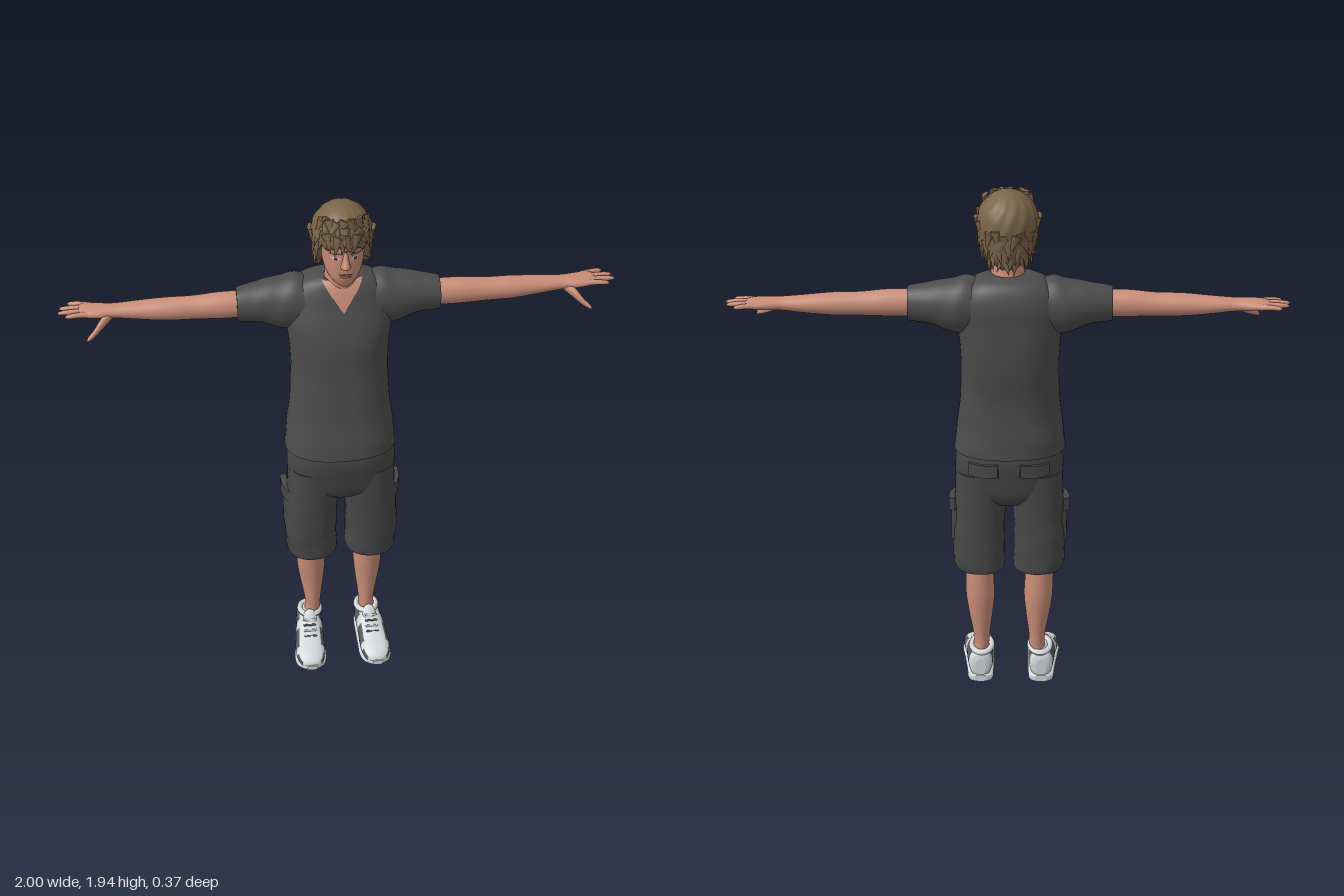
import * as THREE from 'three';

const material = (name, color, side = THREE.FrontSide) => {
  const m = new THREE.MeshStandardMaterial({ color, side });
  m.name = name;
  return m;
};

// Grid surface, closed around u; pick(u, v) chooses the material slot of each cell
function grid(nu, nv, point, { caps = false, pick = () => 0 } = {}) {
  const pos = [], slots = [[], []];
  for (let j = 0; j <= nv; j++) for (let i = 0; i < nu; i++) pos.push(...point(i / nu, j / nv));
  for (let j = 0; j < nv; j++) for (let i = 0; i < nu; i++) {
    const a = j * nu + i, b = j * nu + (i + 1) % nu;
    slots[pick((i + 0.5) / nu, (j + 0.5) / nv)].push(a, a + nu, b, b, a + nu, b + nu);
  }
  if (caps) for (const v of [0, 1]) {
    const base = pos.length / 3, c = [0, 0, 0];
    for (let i = 0; i < nu; i++) {
      const p = point(i / nu, v);
      pos.push(...p);
      p.forEach((n, k) => { c[k] += n / nu; });
    }
    pos.push(...c);
    for (let i = 0; i < nu; i++) {
      const a = base + i, b = base + (i + 1) % nu;
      slots[0].push(base + nu, v ? b : a, v ? a : b);
    }
  }
  const g = new THREE.BufferGeometry();
  g.setAttribute('position', new THREE.Float32BufferAttribute(pos, 3));
  g.setIndex([...slots[0], ...slots[1]]);
  if (slots[1].length) {
    g.addGroup(0, slots[0].length, 0);
    g.addGroup(slots[0].length, slots[1].length, 1);
  }
  g.computeVertexNormals();
  return g;
}

// Smooth interpolation through the cross-section rows
function rowAt(rows, t) {
  const f = t * (rows.length - 1), i = Math.min(Math.floor(f), rows.length - 2), s = f - i;
  const r = (k) => rows[Math.max(0, Math.min(rows.length - 1, k))];
  return rows[0].map((_, c) => {
    const [a, b, d, e] = [r(i - 1)[c], r(i)[c], r(i + 1)[c], r(i + 2)[c]];
    return b + 0.5 * s * (d - a + s * (2 * a - 5 * b + 4 * d - e + s * (3 * (b - d) + e - a)));
  });
}
const sgnPow = (v, e) => Math.sign(v) * Math.abs(v) ** e;

// Loft along an axis; row = [height, centreU, centreV, radiusU, radiusV]
// axis y: u=x v=z; axis x: u=z v=y; axis z: u=y v=x
function loft(rows, { axis = 'y', seg = 32, steps = 4, power = 2, bump = () => 0, pick } = {}) {
  return grid(seg, (rows.length - 1) * steps, (u, v) => {
    const [h, cu, cv, ru, rv] = rowAt(rows, v), a = u * Math.PI * 2, k = 1 + bump(a, h);
    const p = cu + ru * k * sgnPow(Math.cos(a), 2 / power), q = cv + rv * k * sgnPow(Math.sin(a), 2 / power);
    return axis === 'y' ? [p, h, q] : axis === 'x' ? [h, q, p] : [q, p, h];
  }, { caps: true, pick });
}

// Front surface height of a vertical loft
function frontZ(rows, power, x, y) {
  let lo = 0, hi = 1;
  for (let i = 0; i < 25; i++) {
    const m = (lo + hi) / 2;
    if (rowAt(rows, m)[0] < y) lo = m; else hi = m;
  }
  const [, cx, cz, rx, rz] = rowAt(rows, lo);
  return cz + rz * Math.max(0, 1 - Math.abs((x - cx) / rx) ** power) ** (1 / power);
}

// Thin plate laid on the front of a loft; width(t) gives half width from y0 to y1
function plate(rows, power, cx, y0, y1, width, lift = 0.003, slope = 0) {
  const g = new THREE.PlaneGeometry(2, 1, 12, 14), p = g.attributes.position;
  for (let i = 0; i < p.count; i++) {
    const t = p.getY(i) + 0.5, dx = p.getX(i) * width(t), x = cx + dx, y = y0 + (y1 - y0) * t + slope * dx;
    p.setXYZ(i, x, y, frontZ(rows, power, x, y) + lift);
  }
  g.computeVertexNormals();
  return g;
}
const oval = (w) => (t) => w * Math.sqrt(Math.max(0, 1 - (2 * t - 1) ** 2));

function mirrored(g) {
  const m = g.clone().scale(-1, 1, 1), ix = m.index.array;
  for (let i = 0; i < ix.length; i += 3) [ix[i], ix[i + 1]] = [ix[i + 1], ix[i]];
  m.computeVertexNormals();
  return m;
}

export function createModel() {
  const root = new THREE.Group();
  root.name = 'standingMan';
  const skin = material('skin', 0xc98d78), shirt = material('shirtCharcoal', 0x4c4c4d);
  const shorts = material('shortsCharcoal', 0x484849), hair = material('hairBrown', 0x7b6449, THREE.DoubleSide);
  const white = material('shoeWhite', 0xd3d7d9), dark = material('shoeGrey', 0x58595b);
  const lip = material('lips', 0xa9665a), eyeWhite = material('eyeWhite', 0xd8cfc8), iris = material('eyeDark', 0x3a2c25);
  const group = (name, x = 0) => {
    const g = new THREE.Group();
    g.name = name;
    g.position.x = x;
    root.add(g);
    return g;
  };
  const add = (parent, name, g, m) => {
    const mesh = new THREE.Mesh(g, m);
    mesh.name = name;
    parent.add(mesh);
    return mesh;
  };
  const pair = (parent, name, g, m) => {
    add(parent, name + 'Left', g, m);
    add(parent, name + 'Right', mirrored(g), m);
  };

  // Shirt with soft folds, sleeves and V neckline
  const top = group('shirt', -0.008);
  const torso = [[0.965, 0, -0.012, 0.205, 0.153], [1.02, 0, -0.015, 0.2, 0.15], [1.1, 0, -0.02, 0.189, 0.138],
    [1.2, 0, -0.027, 0.18, 0.133], [1.3, 0, -0.04, 0.177, 0.135], [1.4, 0, -0.046, 0.182, 0.135],
    [1.48, 0, -0.055, 0.193, 0.125], [1.55, 0, -0.068, 0.19, 0.112], [1.6, 0, -0.07, 0.17, 0.098],
    [1.632, 0, -0.066, 0.135, 0.08], [1.65, 0, -0.055, 0.085, 0.055]];
  const folds = (a, y) => 0.014 * Math.sin(y * 42 + 2 * Math.sin(2 * a)) * Math.max(0, (1.35 - y) / 0.4) * (0.6 - 0.4 * Math.sin(a));
  add(top, 'shirtBody', loft(torso, { seg: 48, power: 2.4, bump: folds }), shirt);
  pair(top, 'sleeve', loft([[0.09, -0.065, 1.54, 0.085, 0.09], [0.15, -0.068, 1.54, 0.09, 0.104], [0.2, -0.07, 1.535, 0.088, 0.1],
    [0.28, -0.068, 1.543, 0.073, 0.077], [0.363, -0.062, 1.539, 0.057, 0.063]],
  { axis: 'x', bump: (a, x) => 0.012 * Math.sin(x * 70 + 3 * Math.sin(a)) }), shirt);
  add(top, 'necklineSkin', plate(torso, 2.4, 0.008, 1.54, 1.648, (t) => 0.072 * t ** 0.9, 0.005), skin);

  // Arms and hands
  const arms = group('arms');
  pair(arms, 'arm', loft([[0.28, -0.062, 1.54, 0.045, 0.048], [0.42, -0.062, 1.54, 0.046, 0.049], [0.52, -0.064, 1.537, 0.042, 0.043],
    [0.62, -0.066, 1.537, 0.043, 0.041], [0.72, -0.07, 1.538, 0.039, 0.032], [0.8, -0.072, 1.54, 0.034, 0.024],
    [0.85, -0.074, 1.541, 0.041, 0.022], [0.9, -0.08, 1.543, 0.045, 0.018], [0.925, -0.082, 1.543, 0.036, 0.011]],
  { axis: 'x', seg: 24 }), skin);
  [[-0.048, -0.038, 0.973], [-0.07, -0.068, 1], [-0.092, -0.099, 0.994], [-0.113, -0.131, 0.965]].forEach(([z0, z1, tip], i) => {
    const x0 = 0.885, row = (t, r) => [x0 + (tip - x0) * t, z0 + (z1 - z0) * t, 1.543 + 0.003 * Math.sin(t * 3), r, r * 0.9];
    pair(arms, 'finger' + (i + 1), loft([row(0, 0.012), row(0.5, 0.0105), row(0.88, 0.0085), row(1, 0.002)], { axis: 'x', seg: 10, steps: 3 }), skin);
  });
  pair(arms, 'thumb', loft([[0.805, -0.06, 1.535, 0.012, 0.014], [0.845, -0.032, 1.515, 0.02, 0.021], [0.875, -0.006, 1.49, 0.014, 0.014],
    [0.897, 0.008, 1.476, 0.009, 0.009], [0.904, 0.012, 1.471, 0.002, 0.002]], { axis: 'x', seg: 12 }), skin);

  // Neck and head
  const head = group('head');
  add(head, 'neck', loft([[1.57, 0, -0.06, 0.075, 0.07], [1.62, 0, -0.046, 0.066, 0.068], [1.66, 0, -0.038, 0.059, 0.064],
    [1.75, 0, -0.03, 0.058, 0.065]]), skin);
  const face = [[1.662, 0, 0.045, 0.018, 0.028], [1.675, 0, 0.034, 0.038, 0.047], [1.7, 0, 0.017, 0.058, 0.072],
    [1.735, 0, 0.005, 0.07, 0.088], [1.78, 0, -0.006, 0.078, 0.1], [1.83, 0, -0.012, 0.084, 0.109],
    [1.88, 0, -0.018, 0.077, 0.1], [1.92, 0, -0.02, 0.045, 0.06]];
  add(head, 'face', loft(face, { power: 2.15 }), skin);
  add(head, 'nose', loft([[1.742, 0, 0.086, 0.01, 0.012], [1.751, 0, 0.092, 0.018, 0.028], [1.762, 0, 0.093, 0.015, 0.031],
    [1.785, 0, 0.088, 0.01, 0.021], [1.812, 0, 0.084, 0.008, 0.014]], { seg: 16 }), skin);
  add(head, 'upperLip', plate(face, 2.15, 0, 1.718, 1.725, oval(0.026), 0.005), lip);
  add(head, 'lowerLip', plate(face, 2.15, 0, 1.709, 1.718, oval(0.021), 0.006), lip);
  for (const s of [-1, 1]) {
    add(head, 'eye', plate(face, 2.15, s * 0.034, 1.779, 1.791, oval(0.015)), eyeWhite);
    add(head, 'iris', plate(face, 2.15, s * 0.034, 1.779, 1.791, oval(0.006), 0.005), iris);
    add(head, 'eyebrow', plate(face, 2.15, s * 0.036, 1.801, 1.808, oval(0.021), 0.004, -s * 0.1), hair);
    const ear = add(head, 'ear', new THREE.SphereGeometry(1, 14, 10), skin);
    ear.scale.set(0.012, 0.03, 0.019);
    ear.position.set(s * 0.083, 1.77, -0.015);
  }

  // Shaggy hair: cap with an uneven hairline, then overlapping locks
  const hairline = (a) => {
    const s = Math.sin(a);
    return 1.715 + 0.03 * Math.min(0, s) + 0.105 * THREE.MathUtils.smoothstep(s, 0.05, 0.75) + 0.008 * Math.sin(a * 11) + 0.005 * Math.sin(a * 19);
  };
  const hairPoint = (a, y, k = 1) => {
    const d = (y - 1.83) / 0.113, r = k * (d > 0 ? Math.sqrt(Math.max(0, 1 - d * d)) : 1 - 0.14 * d * d);
    const wave = 1 + 0.018 * Math.sin(a * 13 + y * 60) + 0.012 * Math.sin(a * 7 - y * 90);
    return [0.108 * r * wave * Math.cos(a), y, -0.02 + 0.12 * r * wave * Math.sin(a)];
  };
  add(head, 'hairCap', grid(64, 17, (u, v) => {
    const a = u * Math.PI * 2, y0 = hairline(a);
    if (v === 0) return hairPoint(a, y0 + 0.01, 0.78);
    return hairPoint(a, y0 + (1.943 - y0) * Math.sin((v * 17 - 1) / 16 * Math.PI / 2));
  }), hair);
  const lockGeometry = new THREE.ConeGeometry(0.019, 0.075, 7, 3).rotateX(Math.PI).scale(1, 1, 0.42);
  [[0.016, 26, 0.14], [0.055, 22, 0.06], [0.095, 18, -0.12]].forEach(([rise, count, flick], tier) => {
    for (let i = 0; i < count; i++) {
      const a = (i + tier * 0.4 + 0.25 * Math.sin(i * 5.3)) / count * Math.PI * 2;
      const y = Math.min(hairline(a) + rise + 0.009 * Math.sin(i * 3.7), 1.885);
      const lock = add(head, 'hairLock', lockGeometry, hair);
      lock.position.set(...hairPoint(a, y, 0.99));
      lock.rotation.order = 'YXZ';
      lock.rotation.set(-flick - (y > 1.84 ? 0.35 : 0), Math.PI / 2 - a, 0.35 * Math.sin(i * 2.3 + tier));
    }
  });

  // Cargo shorts
  const bottoms = group('shorts', -0.005);
  add(bottoms, 'seatOfShorts', loft([[0.752, 0, -0.015, 0.1, 0.085], [0.79, 0, -0.013, 0.18, 0.115], [0.86, 0, -0.012, 0.2, 0.13],
    [0.93, 0, -0.012, 0.199, 0.142], [0.99, 0, -0.012, 0.19, 0.138]], { power: 2.5 }), shorts);
  pair(bottoms, 'shortsLeg', loft([[0.473, 0.11, -0.022, 0.092, 0.1], [0.5, 0.112, -0.022, 0.096, 0.104], [0.6, 0.116, -0.018, 0.098, 0.108],
    [0.7, 0.11, -0.014, 0.096, 0.111], [0.78, 0.105, -0.013, 0.097, 0.115], [0.88, 0.1, -0.013, 0.098, 0.12]],
  { power: 2.4, bump: (a, y) => 0.018 * Math.sin(y * 55 + 2 * Math.sin(a * 2)) * Math.max(0, (0.85 - y) / 0.37) }), shorts);
  const block = (w, h, d, bulge) => {
    const g = new THREE.BoxGeometry(w, h, d, 6, 6, 1), p = g.attributes.position;
    for (let i = 0; i < p.count; i++) {
      const q = (2 * p.getX(i) / w) ** 2;
      p.setZ(i, p.getZ(i) - bulge * q);
      p.setY(i, p.getY(i) + 0.1 * h * q);
    }
    g.computeVertexNormals();
    return g;
  };
  pair(bottoms, 'cargoPocket', block(0.15, 0.15, 0.02, 0.02).rotateY(1.2).translate(0.197, 0.655, 0.005), shorts);
  pair(bottoms, 'cargoFlap', block(0.17, 0.05, 0.026, 0.024).rotateY(1.15).translate(0.199, 0.742, 0.008), shorts);
  pair(bottoms, 'cargoFlapFront', block(0.09, 0.045, 0.014, 0.012).rotateZ(-0.15).rotateY(0.45).translate(0.145, 0.735, 0.083), shorts);
  pair(bottoms, 'backPocketFlap', block(0.11, 0.05, 0.014, 0.008).rotateY(Math.PI - 0.25).translate(0.095, 0.915, -0.148), shorts);

  // Lower legs
  const legs = group('legs', -0.006);
  pair(legs, 'lowerLeg', loft([[0.08, 0.115, -0.057, 0.033, 0.043], [0.15, 0.106, -0.057, 0.029, 0.042], [0.2, 0.106, -0.057, 0.033, 0.044],
    [0.28, 0.108, -0.06, 0.045, 0.05], [0.36, 0.11, -0.06, 0.054, 0.057], [0.44, 0.112, -0.056, 0.053, 0.059], [0.53, 0.112, -0.05, 0.053, 0.06]]), skin);

  // Trainers: white uppers with grey panels, soles, tongue and laces
  const shoes = group('shoes', -0.012);
  const panels = (u, v) => {
    const side = Math.abs(Math.sin(u * Math.PI * 2)), up = Math.cos(u * Math.PI * 2);
    const band = up > -0.5 && up < 0.72 && side > 0.45;
    return band && ((v > 0.17 && v < 0.38) || (v > 0.46 && v < 0.64) || (v > 0.7 && v < 0.86 && up < 0.4)) ? 1 : 0;
  };
  pair(shoes, 'shoeUpper', loft([[-0.118, 0.065, 0.116, 0.035, 0.02], [-0.105, 0.072, 0.116, 0.055, 0.041], [-0.06, 0.075, 0.117, 0.06, 0.049],
    [0, 0.073, 0.12, 0.06, 0.052], [0.05, 0.06, 0.124, 0.047, 0.055], [0.1, 0.048, 0.127, 0.036, 0.057],
    [0.15, 0.04, 0.128, 0.027, 0.05], [0.175, 0.033, 0.128, 0.018, 0.034], [0.183, 0.03, 0.128, 0.01, 0.015]],
  { axis: 'z', seg: 40, steps: 6, power: 2.3, pick: panels }), [white, dark]);
  const sole = [[-0.122, 0.018, 0.116, 0.014, 0.022], [-0.105, 0.017, 0.116, 0.017, 0.046], [-0.04, 0.017, 0.118, 0.017, 0.052],
    [0.05, 0.017, 0.123, 0.017, 0.058], [0.11, 0.017, 0.127, 0.017, 0.062], [0.155, 0.019, 0.128, 0.015, 0.052], [0.187, 0.024, 0.128, 0.01, 0.02]];
  pair(shoes, 'shoeSole', loft(sole, { axis: 'z', power: 3.5 }), white);
  pair(shoes, 'shoeTread', loft(sole.slice(1, 6).map(([z, y, x, , w]) => [z, 0.004, x, 0.004, w * 0.7]), { axis: 'z', power: 4 }), dark);
  pair(shoes, 'shoeCollar', new THREE.TorusGeometry(0.041, 0.011, 10, 28).rotateX(Math.PI / 2).scale(0.95, 1, 1.25).rotateX(-0.12).translate(0.112, 0.13, -0.053), white);
  pair(shoes, 'shoeTongue', new THREE.SphereGeometry(1, 16, 10).scale(0.026, 0.036, 0.012).rotateX(-0.6).translate(0.117, 0.128, 0.008), white);
  for (let i = 0; i < 4; i++) {
    pair(shoes, 'shoeLace', new THREE.CapsuleGeometry(0.004, 0.042, 4, 8).rotateZ(Math.PI / 2).translate(0.122, 0.128 - i * 0.012, 0.018 + i * 0.019), i % 2 ? dark : white);
  }
  return root;
}
